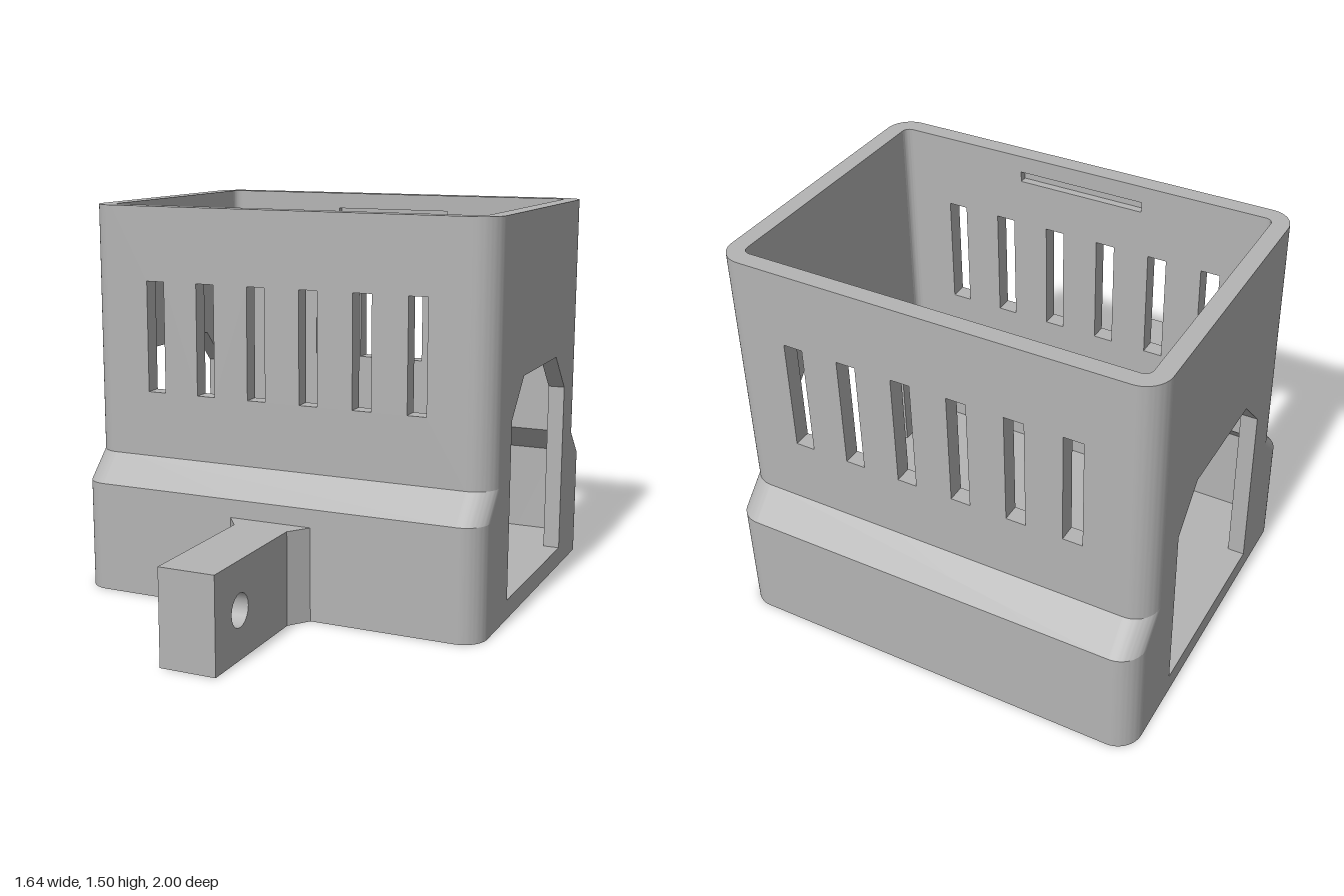
import * as THREE from 'three';
import { toCreasedNormals } from 'three/addons/utils/BufferGeometryUtils.js';

const W = 0.82, T = 0.065, H = 1.505;      // half width, wall thickness, height
const R = 0.095, RI = R - T, CX = W - R;   // outer and inner corner radius, corner centre
const Y1 = 0.43, Y2 = 0.535;               // start and end of the sloped shoulder
const ZL = 0.59, ZU = 0.485;               // corner centres, lower and upper
const FLOOR = 0.075, BODY_Z = -0.315;

const grey = new THREE.MeshStandardMaterial({ color: 0xb4b4b4 });
grey.name = 'greyPlastic';

function add(parent, name, geometry, x = 0, y = 0, z = 0) {
  const mesh = new THREE.Mesh(geometry, grey);
  mesh.name = name;
  mesh.position.set(x, y, z);
  parent.add(mesh);
  return mesh;
}

const poly = (pts) => new THREE.Shape(pts.map(([x, y]) => new THREE.Vector2(x, y)));
const rect = (x, y, w, h) => poly([[x - w / 2, y - h / 2], [x + w / 2, y - h / 2], [x + w / 2, y + h / 2], [x - w / 2, y + h / 2]]);

function extrude(shape, depth) {
  return toCreasedNormals(new THREE.ExtrudeGeometry(shape, { depth, bevelEnabled: false, curveSegments: 10 }), 0.6);
}
// plan shape raised upwards (shape y becomes -z)
const raise = (shape, h) => extrude(shape, h).rotateX(-Math.PI / 2);
// side profile (z, y) extruded towards -x
const profile = (shape, w) => extrude(shape, w).rotateY(-Math.PI / 2);

// plan of a wall with both rounded corners
function wallPlan() {
  const q = Math.PI / 2, s = new THREE.Shape();
  s.absarc(CX, 0, R, 0, q, false);
  s.absarc(-CX, 0, R, q, 2 * q, false);
  s.absarc(-CX, 0, RI, 2 * q, q, true);
  s.absarc(CX, 0, RI, q, 0, true);
  return s;
}

// plan of one rounded corner
function cornerPlan(side) {
  const q = Math.PI / 2, a = side > 0 ? 0 : q, s = new THREE.Shape();
  s.absarc(side * CX, 0, R, a, a + q, false);
  s.absarc(side * CX, 0, RI, a + q, a, true);
  return s;
}

// vented long wall, facing -z
function ventWall(name) {
  const g = new THREE.Group();
  g.name = name;
  add(g, 'lowerWall', raise(wallPlan(), Y1), 0, 0, -ZL);

  // shoulder: the wall plan sheared inwards as it rises
  const shear = new THREE.Matrix4().set(1, 0, 0, 0, 0, 1, 0, 0, 0, (ZL - ZU) / (Y2 - Y1), 1, 0, 0, 0, 0, 1);
  add(g, 'shoulder', raise(wallPlan(), Y2 - Y1).applyMatrix4(shear), 0, Y1, -ZL);

  for (const side of [-1, 1]) add(g, 'upperCorner', raise(cornerPlan(side), H - Y2), 0, Y2, -ZU);

  // vented panel in two layers, the inner one with a catch groove
  const panel = (groove) => {
    const s = rect(0, (Y2 + H) / 2, 2 * CX, H - Y2);
    for (let i = 0; i < 6; i++) s.holes.push(rect((i - 2.5) * 0.214, 1.005, 0.074, 0.43));
    if (groove) s.holes.push(rect(0, 1.42, 0.5, 0.04));
    return s;
  };
  const inner = 0.03;
  add(g, 'ventPanelOuter', extrude(panel(false), T - inner), 0, 0, -ZU - R);
  add(g, 'ventPanelInner', extrude(panel(true), inner), 0, 0, -ZU - RI - inner);
  return g;
}

export function createModel() {
  const model = new THREE.Group();
  model.name = 'ventedHousing';

  const body = new THREE.Group();
  body.name = 'body';
  body.position.z = BODY_Z;
  model.add(body);

  const back = ventWall('backWall'), front = ventWall('frontWall');
  front.rotation.y = Math.PI;
  body.add(back, front);

  // side walls with chamfered doorways
  const side = poly([[-ZL, 0], [ZL, 0], [ZL, Y1], [ZU, Y2], [ZU, H], [-ZU, H], [-ZU, Y2], [-ZL, Y1]]);
  side.holes.push(poly([[-0.36, FLOOR], [0.36, FLOOR], [0.36, 0.755], [0.22, 0.9], [-0.22, 0.9], [-0.36, 0.755]]));
  add(body, 'leftWall', profile(side, T), W);
  add(body, 'rightWall', profile(side, T), -W + T);

  add(body, 'floor', new THREE.BoxGeometry(2 * (W - T), FLOOR, 2 * (ZL + RI)), 0, FLOOR / 2, 0);

  // mounting arm with cross hole and flared root
  const arm = rect(0.725, 0.18, 0.55, 0.36);
  const hole = new THREE.Path();
  hole.absarc(0.82, 0.18, 0.062, 0, Math.PI * 2, true);
  arm.holes.push(hole);
  add(model, 'mountingArm', profile(arm, 0.216), 0.108);
  add(model, 'armRoot', raise(poly([[-0.165, -0.36], [-0.165, -0.37], [-0.108, -0.45], [0.108, -0.45], [0.165, -0.37], [0.165, -0.36]]), 0.36));

  return model;
}
